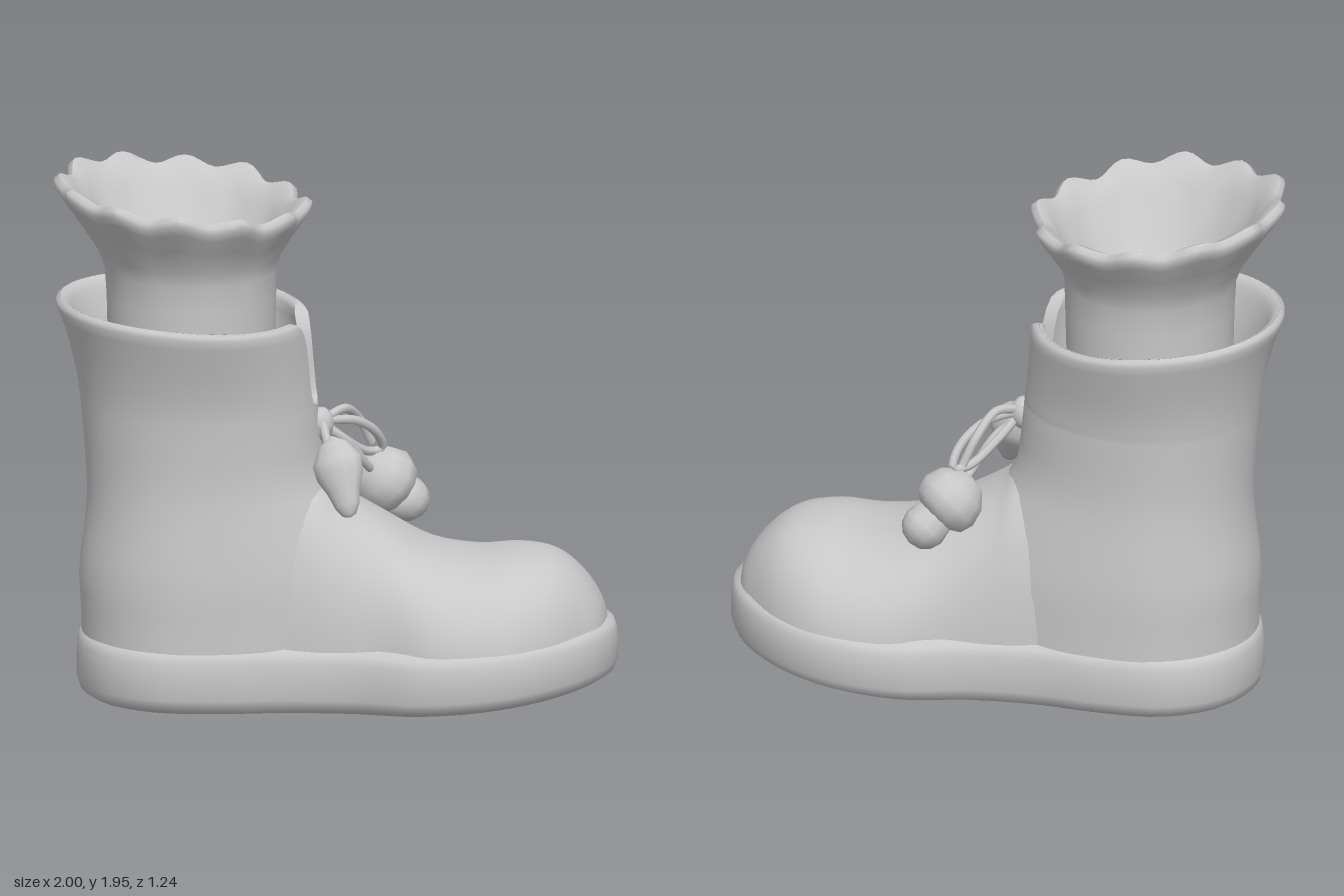
import * as THREE from 'three';
import { toCreasedNormals } from 'three/addons/utils/BufferGeometryUtils.js';

const grey = new THREE.MeshStandardMaterial({ color: 0xc8c8c8, side: THREE.DoubleSide });
grey.name = 'soft grey';

function addMesh(parent, name, geometry) {
  const mesh = new THREE.Mesh(geometry, grey);
  mesh.name = name;
  parent.add(mesh);
  return mesh;
}

// Skins a stack of closed loops, each an array of [x, y, z]
function loft(loops, crease = 1) {
  const n = loops[0].length;
  const index = [];
  for (let i = 0; i < loops.length - 1; i++) {
    for (let j = 0; j < n; j++) {
      const a = i * n + j, b = i * n + (j + 1) % n;
      index.push(a, a + n, b, b, a + n, b + n);
    }
  }
  const g = new THREE.BufferGeometry();
  g.setAttribute('position', new THREE.Float32BufferAttribute(loops.flat(2), 3));
  g.setIndex(index);
  return toCreasedNormals(g, crease);
}

const ring = (n, fn) => Array.from({ length: n }, (_, j) => fn((j / n) * Math.PI * 2));
const spline = (rows, closed = false) =>
  new THREE.CatmullRomCurve3(rows.map(r => new THREE.Vector3(...r)), closed);

// Sole: one plan outline, scaled through the rows of a rounded rim
function soleGeometry() {
  const side = [[1.49, 0.21], [1.31, 0.385], [1.1, 0.47], [0.85, 0.474], [0.6, 0.394], [0.35, 0.375],
    [0.1, 0.4], [-0.15, 0.385], [-0.34, 0.25]];
  const pts = [[1.56, 0], ...side, [-0.42, 0], ...side.slice().reverse().map(([u, v]) => [u, -v])];
  const outline = spline(pts.map(([u, v]) => [u, 0, v]), true).getPoints(72).slice(0, 72);
  // [inset, height fraction]
  const rows = [[0.995, 0], [0.5, 0], [0.1, 0], [0.03, 0.08], [0, 0.25], [0, 0.65], [0.01, 0.85], [0.035, 1], [0.12, 1.08]];
  return loft(rows.map(([inset, f]) => outline.map(p => {
    const u = 0.56 + (p.x - 0.56) * (1 - 0.4 * inset);
    const bottom = 0.003 + 0.085 * Math.max(0, (u - 0.4) / 1.16) ** 2;
    const top = 0.23 + 0.05 * Math.max(0, (p.x - 0.9) / 0.66);
    return [u, bottom + (top - bottom) * f, p.z * (1 - inset)];
  })));
}

// Foot: domed slices along the foot given as [along, height, half width]
function footGeometry() {
  const slices = spline([[0.1, 0.88, 0.3], [0.3, 0.89, 0.335], [0.46, 0.84, 0.355], [0.54, 0.77, 0.362],
    [0.7, 0.67, 0.38], [0.88, 0.565, 0.448], [1.05, 0.535, 0.46], [1.2, 0.548, 0.43],
    [1.33, 0.53, 0.355], [1.43, 0.46, 0.255], [1.5, 0.36, 0.155], [1.53, 0.25, 0]]).getPoints(44);
  const pow = (x, p) => Math.sign(x) * Math.abs(x) ** p;
  return loft(slices.map(({ x, y, z }) => ring(48, s =>
    [x, 0.15 + (y - 0.15) * Math.max(0, pow(Math.sin(s), 0.85)), z * pow(Math.cos(s), 0.85)])));
}

// Shaft sizes at each height: [back, front, half width]
const shaftHeights = [0.1, 0.3, 0.45, 0.68, 0.85, 1.1, 1.2, 1.35, 1.46];
const shaftSizes = spline([[0.4, 0.72, 0.39], [0.402, 0.72, 0.387], [0.41, 0.69, 0.387],
  [0.385, 0.585, 0.367], [0.385, 0.49, 0.355], [0.405, 0.462, 0.368],
  [0.42, 0.452, 0.385], [0.46, 0.44, 0.43], [0.505, 0.43, 0.465]]);

function shaftPoint(y, t, shrink) {
  const h = shaftHeights;
  let i = 0;
  while (i < h.length - 2 && y > h[i + 1]) i++;
  const size = shaftSizes.getPoint((i + Math.min(1, (y - h[i]) / (h[i + 1] - h[i]))) / (h.length - 1));
  const c = Math.cos(t);
  return [c * ((c > 0 ? size.y : size.x) - shrink), y - 0.03 * c * Math.max(0, (y - 1.1) / 0.36),
    (size.z - shrink) * Math.sin(t)];
}

// Shaft: C-shaped loops of an outer and an inner wall, split at the front near the top
function shaftGeometry() {
  // [y, half gap, outer shrink, inner shrink]
  const closed = [0.1, 0.2, 0.3, 0.38, 0.45, 0.53, 0.6, 0.68, 0.77, 0.85, 0.93, 1.01, 1.09].map(y => [y, 0, 0, 0.05]);
  const split = [[1.105, 0.14, 0, 0.05], [1.14, 0.165, 0, 0.05], [1.2, 0.175, 0, 0.05], [1.28, 0.175, 0, 0.05],
    [1.35, 0.185, 0, 0.05], [1.4, 0.22, 0, 0.05], [1.435, 0.275, 0, 0.05], [1.453, 0.32, 0.008, 0.043], [1.462, 0.36, 0.025, 0.026]];
  const n = 64;
  return loft([...closed, ...split].map(([y, gap, outer, inner]) => {
    const wall = s => Array.from({ length: n + 1 }, (_, j) =>
      shaftPoint(y, 0.08 + gap + (j / n) * (Math.PI * 2 - 2 * gap), s));
    return [...wall(outer), ...wall(inner).reverse()];
  }));
}

// Sock: plain tube that flares into a folded frill, then turns back inside
function sockGeometry() {
  // [y, radius, frill amount]
  const rows = [[0.9, 0.3, 0], [1.3, 0.305, 0], [1.5, 0.31, 0], [1.6, 0.315, 0.05], [1.66, 0.332, 0.25],
    [1.75, 0.39, 0.7], [1.82, 0.438, 1], [1.852, 0.457, 1], [1.875, 0.457, 1], [1.89, 0.438, 1], [1.875, 0.405, 1],
    [1.8, 0.36, 0.9], [1.66, 0.275, 0.7], [1.56, 0.21, 0.5], [1.47, 0.12, 0.25], [1.42, 0.001, 0]];
  return loft(rows.map(([y, r, f]) => ring(96, t => {
    const fold = Math.cos(12 * t) + 0.35 * Math.sin(5 * t + 1);
    const R = r * (1 + 0.034 * f * fold);
    return [R * Math.cos(t) - 0.035 * f, y + f * (0.015 * fold - 0.045 * Math.cos(t)), R * Math.sin(t)];
  })));
}

// Turned piece placed from one point towards another
function turned(parent, name, profile, from, to, sides) {
  const g = new THREE.LatheGeometry(profile.map(p => new THREE.Vector2(...p)), sides);
  const mesh = addMesh(parent, name, g);
  const dir = new THREE.Vector3(...to).sub(new THREE.Vector3(...from)).normalize();
  mesh.position.set(...from);
  mesh.quaternion.setFromUnitVectors(new THREE.Vector3(0, 1, 0), dir);
  return mesh;
}

function createBow() {
  const bow = new THREE.Group();
  bow.name = 'bow';
  const knot = addMesh(bow, 'knot', new THREE.SphereGeometry(0.055, 10, 8));
  knot.position.set(-0.045, 1.01, 0.02);
  knot.scale.set(0.9, 1.15, 0.95);

  // Cord loops and strings
  const cords = [
    [[-0.03, 1.02, 0], [0.05, 1.0, -0.1], [0.1, 0.93, -0.2], [0.1, 0.86, -0.25], [0.06, 0.86, -0.2], [0, 0.94, -0.08], [-0.03, 1.0, 0]],
    [[-0.03, 1.03, 0], [0.01, 1.045, -0.09], [0.03, 0.98, -0.2], [0.06, 0.88, -0.25]],
    [[-0.03, 0.99, 0], [0.03, 0.93, -0.06], [0.07, 0.84, -0.13], [0.09, 0.78, -0.2]],
    [[-0.03, 1.02, 0.04], [-0.01, 1.0, 0.08], [0.02, 0.95, 0.12], [0.05, 0.9, 0.14]]
  ];
  cords.forEach(points => addMesh(bow, 'cord', new THREE.TubeGeometry(spline(points), 28, 0.017, 7)));

  // Acorn tassel: rounded cup and smaller nut
  turned(bow, 'acornCup', [[0, -0.11], [0.06, -0.1], [0.11, -0.05], [0.128, 0.01], [0.115, 0.06], [0.07, 0.09], [0, 0.1]],
    [0.1, 0.745, -0.265], [0.18, 0.645, -0.36], 12);
  turned(bow, 'acornNut', [[0, -0.08], [0.075, -0.06], [0.086, 0], [0.074, 0.04], [0.043, 0.07], [0, 0.08]],
    [0.165, 0.65, -0.35], [0.21, 0.585, -0.415], 12);

  // Drooping leaf-shaped tassel
  const leaf = turned(bow, 'leafTassel', [[0, 0], [0.06, 0.035], [0.1, 0.1], [0.096, 0.15], [0.068, 0.21], [0.05, 0.27], [0.028, 0.305], [0, 0.315]],
    [0.02, 0.99, 0.1], [0.135, 0.71, 0.215], 12);
  leaf.scale.set(0.7, 1, 0.95);
  return bow;
}

export function createModel() {
  const model = new THREE.Group();
  model.name = 'boot with frilled sock';

  const boot = new THREE.Group();
  boot.name = 'boot';
  boot.position.set(-0.5, 0, 0.15);
  boot.rotation.y = 0.295;
  addMesh(boot, 'sole', soleGeometry());
  addMesh(boot, 'foot', footGeometry());
  addMesh(boot, 'shaft', shaftGeometry());
  addMesh(boot, 'sock', sockGeometry());
  model.add(boot, createBow());
  return model;
}
